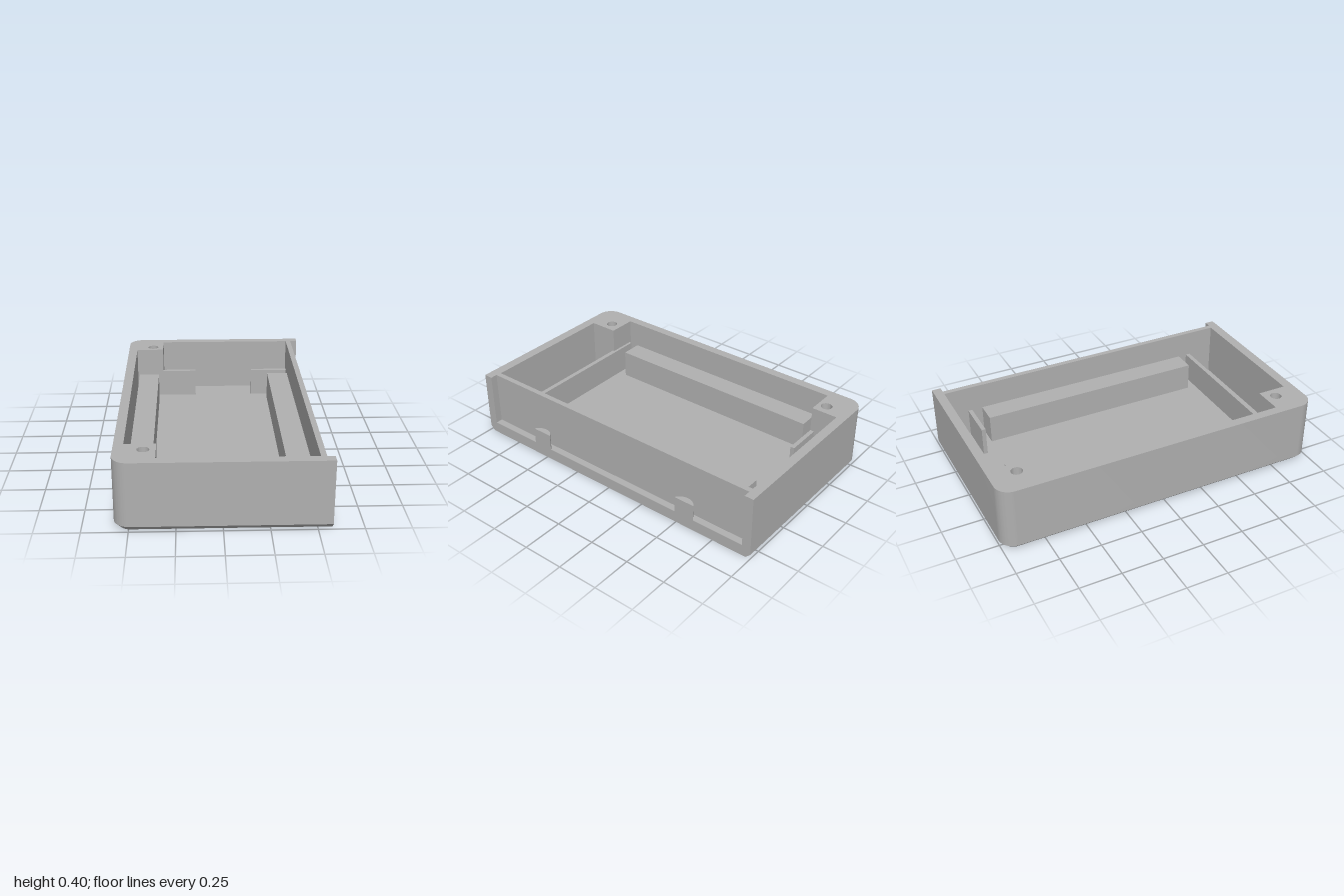
import * as THREE from 'three';
import { toCreasedNormals } from 'three/addons/utils/BufferGeometryUtils.js';

const FLOOR = 0.07, TOP = 0.4, CHAMFER = 0.03, RIB_TOP = 0.245;

export function createModel() {
  const group = new THREE.Group();
  const plastic = new THREE.MeshStandardMaterial({ color: 0xb0b0b0 });
  plastic.name = 'grey plastic';

  const add = (name, geometry) => {
    const mesh = new THREE.Mesh(geometry, plastic);
    mesh.name = name;
    group.add(mesh);
    return mesh;
  };

  // Plan shapes use (x, -z), so extruding upward needs one rotation
  const extrudeUp = (shape, y0, y1) => {
    const g = new THREE.ExtrudeGeometry(shape, { depth: y1 - y0, bevelEnabled: false, curveSegments: 16 });
    g.rotateX(-Math.PI / 2);
    g.translate(0, y0, 0);
    return toCreasedNormals(g, 0.5);
  };

  // Plan outline: two rounded corners at -x, square ends at +x
  const outline = (inset, recessed) => {
    const r = 0.09 - inset, z = 1 - inset, x = -0.58 + inset;
    const s = new THREE.Shape();
    s.moveTo(0.58, -z);
    if (recessed) {
      s.lineTo(0.58, -0.945);
      s.lineTo(0.537, -0.945);
      s.lineTo(0.537, 0.945);
      s.lineTo(0.58, 0.945);
    }
    s.lineTo(0.58, z);
    s.absarc(x + r, z - r, r, Math.PI / 2, Math.PI, false);
    s.absarc(x + r, -z + r, r, Math.PI, Math.PI * 1.5, false);
    return s;
  };

  // Base slab: rings joined from the chamfered bottom up to the floor
  const rings = [[CHAMFER, 0], [0, CHAMFER], [0, FLOOR]].map(([inset, y]) =>
    outline(inset, false).getPoints(16).map(p => new THREE.Vector3(p.x, y, -p.y)));
  const pos = [];
  const tri = (...pts) => pts.forEach(p => pos.push(p.x, p.y, p.z));
  const n = rings[0].length;
  const bottomMid = new THREE.Vector3(0, 0, 0), topMid = new THREE.Vector3(0, FLOOR, 0);
  for (let i = 0; i < n; i++) {
    const j = (i + 1) % n;
    for (let k = 0; k < 2; k++) {
      const lo = rings[k], hi = rings[k + 1];
      tri(lo[i], lo[j], hi[j]);
      tri(lo[i], hi[j], hi[i]);
    }
    tri(bottomMid, rings[0][j], rings[0][i]);
    tri(topMid, rings[2][i], rings[2][j]);
  }
  const base = new THREE.BufferGeometry();
  base.setAttribute('position', new THREE.Float32BufferAttribute(pos, 3));
  add('baseSlab', toCreasedNormals(base, 0.5));

  // Walls with solid corner posts, screw holes and a recessed +x side
  const walls = outline(0, true);
  const cavity = [
    [-0.525, -0.785], [-0.35, -0.785], [-0.35, -0.945], [0.505, -0.945],
    [0.505, 0.94], [-0.35, 0.94], [-0.35, 0.762], [-0.525, 0.762],
  ].map(([x, z]) => new THREE.Vector2(x, -z));
  walls.holes.push(new THREE.Path(cavity));
  for (const z of [-0.84, 0.835]) {
    walls.holes.push(new THREE.Path().absarc(-0.418, -z, 0.034, 0, Math.PI * 2, true));
  }
  add('walls', extrudeUp(walls, FLOOR, TOP));

  // Ribs standing on the floor: x0, x1, z0, z1
  const rib = (name, x0, x1, z0, z1) => {
    const h = RIB_TOP - FLOOR;
    add(name, new THREE.BoxGeometry(x1 - x0, h, z1 - z0))
      .position.set((x0 + x1) / 2, FLOOR + h / 2, (z0 + z1) / 2);
  };
  rib('rightRail', -0.51, -0.38, -0.72, 0.69);
  rib('leftRail', 0.36, 0.495, -0.72, 0.69);
  rib('backRibRight', -0.35, -0.13, -0.81, -0.785);
  rib('backRibLeft', 0.255, 0.495, -0.81, -0.785);
  rib('frontRib', -0.51, 0.495, 0.745, 0.773);

  // Round-backed tabs on the outer ledge
  const a = Math.asin(0.065 / 0.075);
  for (const [name, z] of [['frontTab', 0.53], ['backTab', -0.555]]) {
    const tab = new THREE.Shape().absarc(0.617, -z, 0.075, Math.PI - a, Math.PI + a, false);
    add(name, extrudeUp(tab, FLOOR, 0.17));
  }

  return group;
}
